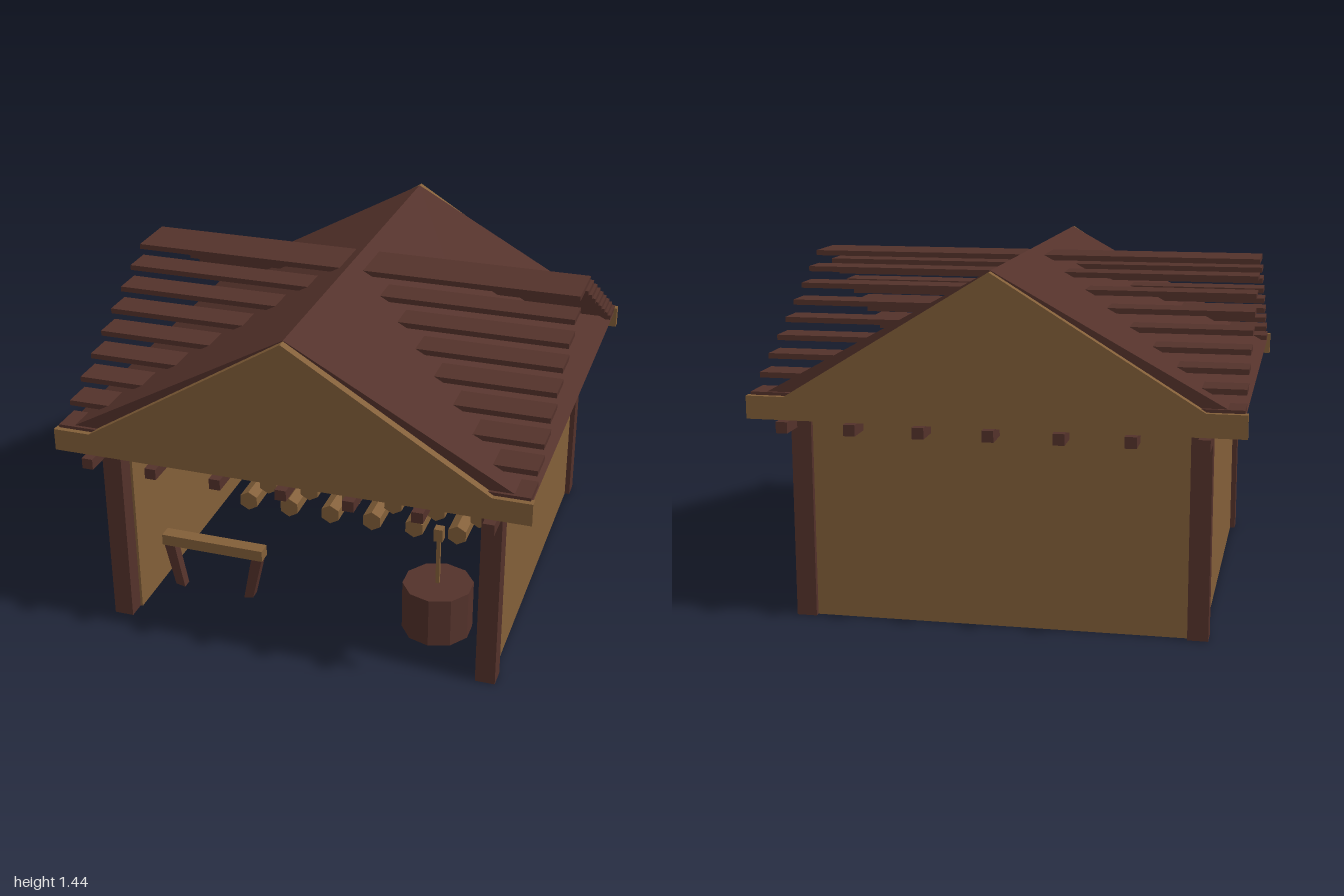
import * as THREE from 'three';

const wood = new THREE.MeshStandardMaterial({ color: 0x835f39 });
wood.name = 'lightWood';
const dark = new THREE.MeshStandardMaterial({ color: 0x54322b });
dark.name = 'darkWood';

export function createModel() {
  const model = new THREE.Group();
  model.name = 'workshopHut';

  const add = (name, geometry, material, parent = model) => {
    const mesh = new THREE.Mesh(geometry, material);
    mesh.name = name;
    parent.add(mesh);
    return mesh;
  };
  // Box given by its lower and upper limits on each axis
  const box = (name, material, [x0, x1], [y0, y1], [z0, z1], parent) => {
    const mesh = add(name, new THREE.BoxGeometry(x1 - x0, y1 - y0, z1 - z0), material, parent);
    mesh.position.set((x0 + x1) / 2, (y0 + y1) / 2, (z0 + z1) / 2);
    return mesh;
  };
  // Outline in x and y, extruded from z0 to z1
  const plate = (name, material, points, z0, z1, parent) => {
    const shape = new THREE.Shape(points.map(([x, y]) => new THREE.Vector2(x, y)));
    const geometry = new THREE.ExtrudeGeometry(shape, { depth: z1 - z0, bevelEnabled: false });
    geometry.translate(0, 0, z0);
    return add(name, geometry, material, parent);
  };
  // Cylinder with flat facets
  const facetedCylinder = (radius, length, sides) => {
    const geometry = new THREE.CylinderGeometry(radius, radius, length, sides).toNonIndexed();
    geometry.computeVertexNormals();
    return geometry;
  };
  const group = (name) => {
    const g = new THREE.Group();
    g.name = name;
    model.add(g);
    return g;
  };

  // Corner posts
  for (const x of [-0.796, 0.796]) {
    for (const z of [-0.796, 0.796]) {
      box('post', dark, [x - 0.041, x + 0.041], [0, 0.91], [z - 0.041, z + 0.041]);
    }
  }

  // Walls on three sides, open at the front
  box('leftWall', wood, [0.745, 0.815], [0, 0.862], [-0.76, 0.76]);
  box('rightWall', wood, [-0.815, -0.745], [0, 0.862], [-0.76, 0.76]);
  box('backWall', wood, [-0.76, 0.76], [0, 0.862], [-0.815, -0.745]);

  // Main roof: a closed prism along the ridge
  plate('roof', dark, [[-0.96, 0.91], [0.96, 0.91], [0, 1.44]], -0.93, 0.93);

  // Stepped cross roof of long slats
  const slats = group('roofSlats');
  box('ridgeSlat', dark, [-0.96, 0.96], [1.39, 1.412], [-0.115, 0.115], slats);
  for (let i = 1; i <= 8; i++) {
    const y = 1.401 - i * 0.0583;
    const z = 0.05 + i * 0.1035;
    for (const s of [-1, 1]) {
      box('slat', dark, [-0.96, 0.96], [y - 0.011, y + 0.011], [s * z - 0.065, s * z + 0.065], slats);
    }
  }

  // Gable ends with tie beam and rafter stubs
  for (const s of [-1, 1]) {
    const gable = group(s > 0 ? 'frontGable' : 'backGable');
    const z = s * 0.9475;
    plate('gablePanel', wood, [[-0.84, 0.92], [0.84, 0.92], [0, 1.437]], z - 0.0175, z + 0.0175, gable);
    box('tieBeam', wood, [-0.973, 0.973], [0.841, 0.933], [z - 0.0175, z + 0.0175], gable);
    for (let i = -3; i <= 3; i++) {
      const x = i * 0.2725;
      box('rafterStub', dark, [x - 0.023, x + 0.023], [0.796, 0.841],
        [s * 0.9425 - 0.0575, s * 0.9425 + 0.0575], gable);
    }
  }

  // Staggered rows of hexagonal logs
  const logs = group('hexLogs');
  const logGeometry = facetedCylinder(0.048, 0.19, 6);
  logGeometry.rotateX(Math.PI / 2);
  for (let row = 0; row < 5; row++) {
    for (let col = 0; col < 6; col++) {
      const log = add('hexLog', logGeometry, wood, logs);
      log.position.set(-0.576 + col * 0.204 + (row % 2) * 0.102, 0.091 + row * 0.1065, -0.165);
    }
  }

  // Sawhorse bench with splayed legs
  const bench = group('bench');
  bench.position.set(-0.487, 0, 0.55);
  box('benchTop', wood, [-0.232, 0.232], [0.21, 0.26], [-0.03, 0.03], bench);
  for (const s of [-1, 1]) {
    plate('benchLeg', dark, [
      [s * 0.14, 0.003], [s * 0.182, 0.012], [s * 0.228, 0.212], [s * 0.18, 0.212],
    ], -0.022, 0.022, bench);
  }

  // Ten-sided barrel with a tool standing in it
  add('barrel', facetedCylinder(0.15, 0.22, 10), dark).position.set(0.51, 0.11, 0.515);
  const tool = group('tool');
  box('toolHandle', wood, [0.5, 0.516], [0.2, 0.43], [0.507, 0.523], tool);
  box('toolHead', wood, [0.49, 0.528], [0.43, 0.487], [0.495, 0.535], tool);

  return model;
}
